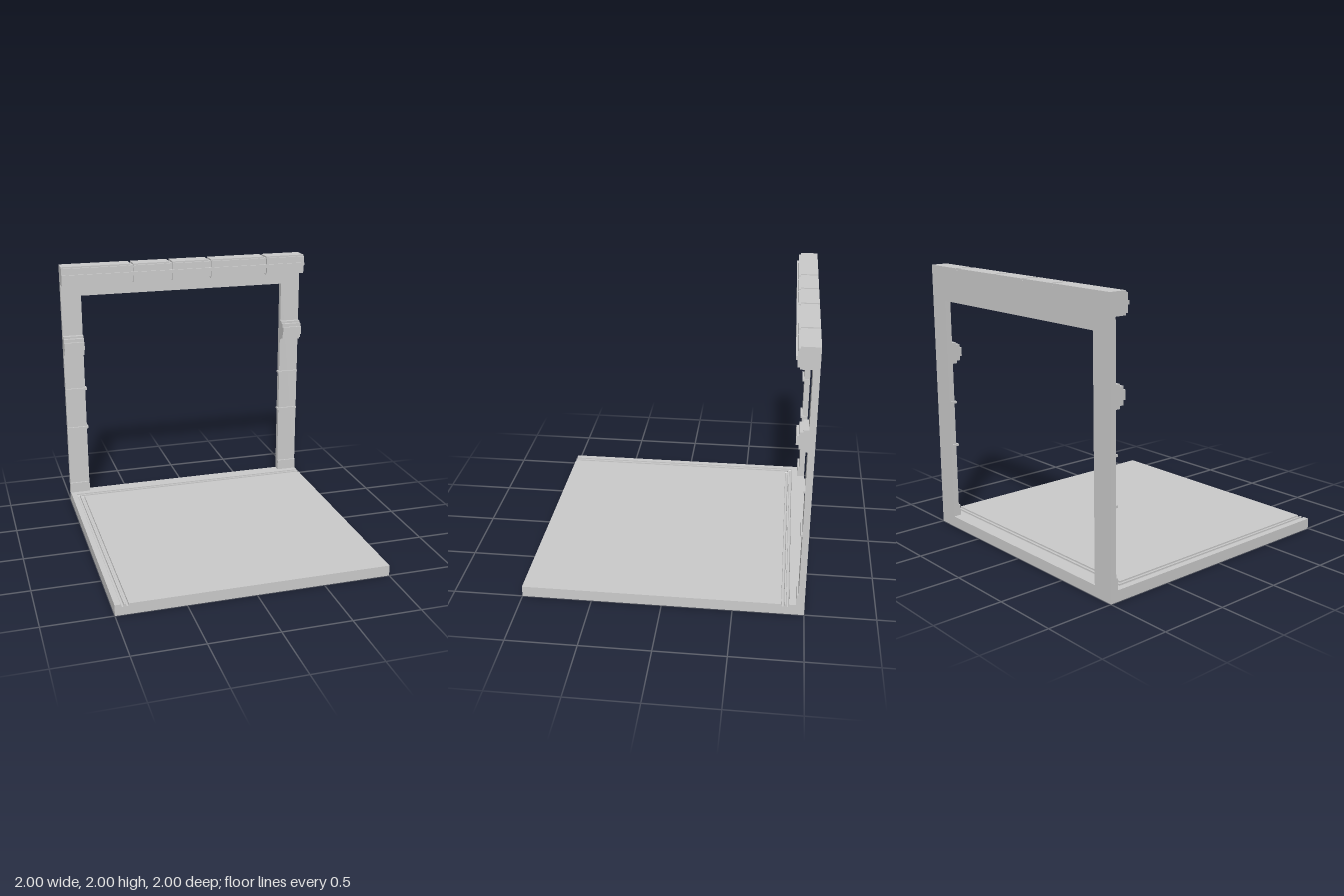
import * as THREE from 'three';

const material = new THREE.MeshStandardMaterial({ color: 0xcccccc, flatShading: true });
const FLOOR = 0.08, BACK = -1, FACE = -0.955, INNER = 0.84;

function add(parent, name, geometry) {
  const mesh = new THREE.Mesh(geometry, material);
  mesh.name = name;
  parent.add(mesh);
  return mesh;
}

// Box given by its limits on each axis
function block(x0, x1, y0, y1, z0, z1) {
  return new THREE.BoxGeometry(x1 - x0, y1 - y0, z1 - z0)
    .translate((x0 + x1) / 2, (y0 + y1) / 2, (z0 + z1) / 2);
}

// Moulding: a [z, y] profile run along x
function moulding(profile, x0, x1) {
  const shape = new THREE.Shape(profile.map(([z, y]) => new THREE.Vector2(z, y)));
  return new THREE.ExtrudeGeometry(shape, { depth: x1 - x0, bevelEnabled: false })
    .rotateY(-Math.PI / 2).translate(x1, 0, 0);
}

// Floor slab: a profile with two round grooves, swept around the back corner
function floorGeometry() {
  const r = 0.011, gap = 0.033, x0 = -0.947, z0 = -0.883;
  const profile = [[-1, -1, 0], [-1, -1, FLOOR]];
  for (const d of [0, gap]) {
    profile.push([x0 + d - r, z0 + d - r, FLOOR]);
    for (let k = 0; k <= 8; k++) {
      const a = Math.PI * (1 + k / 8), o = d + r * Math.cos(a);
      profile.push([x0 + o, z0 + o, 0.072 + r * Math.sin(a)]);
    }
    profile.push([x0 + d + r, z0 + d + r, FLOOR]);
  }
  profile.push([1, 1, FLOOR]);
  const positions = [], index = [];
  profile.forEach(([x, z, y], i) => {
    // front wall foot, front edge, corner, right edge, right wall foot
    positions.push(x, 0, 1, x, y, 1, x, y, z, 1, y, z, 1, 0, z);
    if (i === profile.length - 1) return;
    for (let j = 0; j < 4; j++) {
      const a = i * 5 + j, b = a + 5;
      index.push(a, b, a + 1, b, b + 1, a + 1);
    }
  });
  const geometry = new THREE.BufferGeometry();
  geometry.setAttribute('position', new THREE.Float32BufferAttribute(positions, 3));
  geometry.setIndex(index);
  const flat = geometry.toNonIndexed();
  flat.computeVertexNormals();
  return flat;
}

export function createModel() {
  const model = new THREE.Group();
  model.name = 'framedStage';

  // Floor
  const floor = new THREE.Group();
  floor.name = 'floor';
  model.add(floor);
  add(floor, 'groovedSlab', floorGeometry());
  add(floor, 'underside', new THREE.PlaneGeometry(2, 2).rotateX(Math.PI / 2));

  // Doorway frame, two legs and a lintel in one outline
  const outline = new THREE.Shape([
    [-1, FLOOR], [-INNER, FLOOR], [-INNER, 1.75], [INNER, 1.75],
    [INNER, FLOOR], [1, FLOOR], [1, 1.987], [-1, 1.987],
  ].map(([x, y]) => new THREE.Vector2(x, y)));
  add(model, 'frame', new THREE.ExtrudeGeometry(outline,
    { depth: FACE - BACK, bevelEnabled: false }).translate(0, 0, BACK));

  // Stepped capital profile
  const capital = [
    [FACE, 1.274], [-0.92, 1.274], [-0.92, 1.293], [-0.893, 1.293], [-0.893, 1.325],
    [-0.875, 1.325], [-0.875, 1.39], [-0.893, 1.39], [-0.893, 1.416],
    [-0.92, 1.416], [-0.92, 1.432], [FACE, 1.432],
  ];

  // Pillar trim, the same on both sides
  for (const [side, s] of [['left', 1], ['right', -1]]) {
    const pillar = new THREE.Group();
    pillar.name = side + 'PillarTrim';
    model.add(pillar);
    const span = (inner) => (s > 0 ? [inner, 1] : [-1, -inner]);
    add(pillar, 'plinth', block(...span(INNER), FLOOR, 0.163, FACE, -0.94));
    for (const y of [0.647, 0.98])
      add(pillar, 'band', block(...span(0.828), y - 0.008, y + 0.008, -0.99, -0.94));
    add(pillar, 'capital', moulding(capital, ...span(INNER)));
  }

  // Cornice: recessed core, continuous middle fillet, and blocks split by joints
  const cornice = new THREE.Group();
  cornice.name = 'cornice';
  model.add(cornice);
  add(cornice, 'core', block(-1, 1, 1.86, 1.987, FACE, -0.875));
  add(cornice, 'fillet', block(-1, 1, 1.912, 1.938, FACE, -0.845));
  const stone = [
    [FACE, 1.848], [-0.873, 1.848], [-0.873, 1.861], [-0.857, 1.861], [-0.857, 1.988],
    [-0.873, 1.988], [-0.873, 2], [BACK, 2], [BACK, 1.987], [FACE, 1.987],
  ];
  const joints = [-0.44, -0.123, 0.198, 0.667], half = 0.011;
  const starts = [-1, ...joints.map((x) => x + half)];
  const ends = [...joints.map((x) => x - half), 1];
  starts.forEach((x, i) => add(cornice, 'corniceBlock', moulding(stone, x, ends[i])));

  return model;
}
